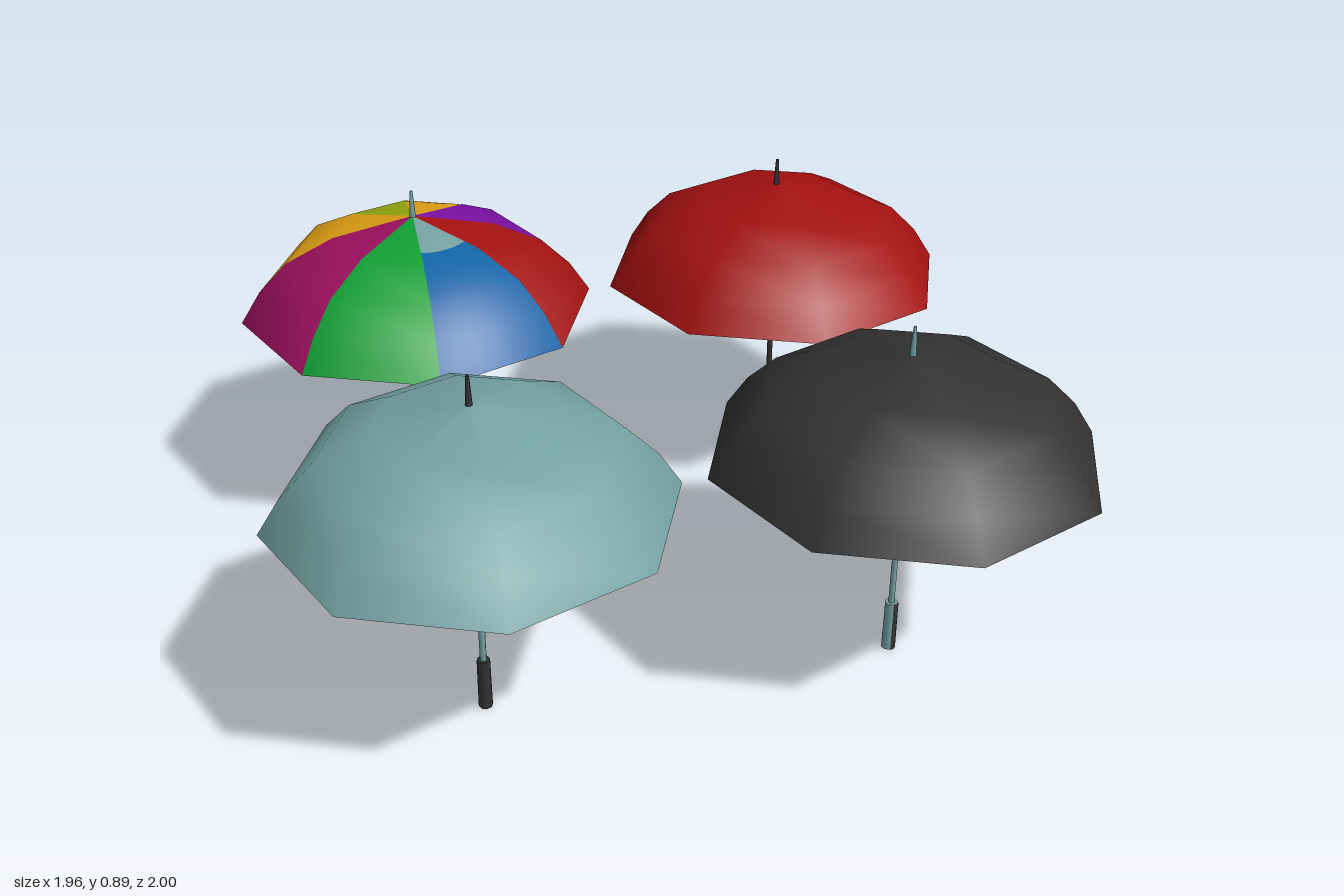
import * as THREE from 'three';

const mat = (name, color, side = THREE.DoubleSide) => {
  const m = new THREE.MeshStandardMaterial({ color, side });
  m.name = name;
  return m;
};

const RIM = 0.475, STEP = Math.PI / 4;
// Canopy profile from rim to crown: [radius, height]
const PROFILE = [[RIM, 0.555], [0.42, 0.64], [0.345, 0.715], [0.215, 0.777], [0, 0.82]];

function canopyHeight(r) {
  for (let i = 0; i < PROFILE.length - 1; i++) {
    const [r0, y0] = PROFILE[i], [r1, y1] = PROFILE[i + 1];
    if (r >= r1) return y0 + (y1 - y0) * (r0 - r) / (r0 - r1);
  }
  return PROFILE[PROFILE.length - 1][1];
}

function mesh(name, geometry, material) {
  const m = new THREE.Mesh(geometry, material);
  m.name = name;
  return m;
}

// One or more whole canopy panels
function panels(first, count) {
  const pts = PROFILE.map(([r, y]) => new THREE.Vector2(r, y));
  return new THREE.LatheGeometry(pts, count, first * STEP, count * STEP);
}

// Piece of one panel between two round boundaries (null outer = rim)
function panelPiece(index, inner, outer) {
  const cols = 6, rows = 16, pos = [], nor = [], idx = [];
  for (let c = 0; c <= cols; c++) {
    const a = (index + c / cols) * STEP;
    const k = Math.cos((c / cols - 0.5) * STEP) / Math.cos(STEP / 2);
    const end = outer === null ? RIM / k : outer;
    for (let j = 0; j <= rows; j++) {
      const r = inner + (end - inner) * j / rows;
      pos.push(r * Math.sin(a), canopyHeight(r * k), r * Math.cos(a));
      const slope = 0.15 + 1.35 * (r * k / RIM) ** 3;
      const n = new THREE.Vector3(slope * Math.sin(a), 1, slope * Math.cos(a)).normalize();
      nor.push(n.x, n.y, n.z);
      if (c < cols && j < rows) {
        const p = c * (rows + 1) + j, q = p + rows + 1;
        idx.push(p, p + 1, q + 1, p, q + 1, q);
      }
    }
  }
  const g = new THREE.BufferGeometry();
  g.setAttribute('position', new THREE.Float32BufferAttribute(pos, 3));
  g.setAttribute('normal', new THREE.Float32BufferAttribute(nor, 3));
  g.setIndex(idx);
  return g;
}

// Shaft, tip and handle shared by every umbrella
function umbrella(name, x, z, shaftMat, tipMat, handleMat) {
  const g = new THREE.Group();
  g.name = name;
  g.position.set(x, 0, z);
  const shaft = mesh('shaft', new THREE.CylinderGeometry(0.008, 0.008, 0.7, 8), shaftMat);
  shaft.position.y = 0.47;
  const tip = mesh('tip', new THREE.CylinderGeometry(0.004, 0.009, 0.08, 8), tipMat);
  tip.position.y = 0.85;
  const handle = mesh('handle', new THREE.CylinderGeometry(0.016, 0.017, 0.135, 8), handleMat);
  handle.position.y = 0.0675;
  g.add(shaft, tip, handle);
  return g;
}

export function createModel() {
  const teal = mat('teal', 0x74a2a4), dark = mat('charcoal', 0x323232), red = mat('red', 0xa31010);
  const purple = mat('purple', 0x7a10a2), blue = mat('blue', 0x1064a6), green = mat('green', 0x10a034);
  const magenta = mat('magenta', 0x9e1060), orange = mat('orange', 0xe0a014), lime = mat('lime', 0x95aa10);
  const model = new THREE.Group();
  model.name = 'umbrellas';
  const X = 0.505, Z = 0.525;

  // Plain umbrellas
  const tealOne = umbrella('tealUmbrella', -X, Z, teal, dark, dark);
  tealOne.add(mesh('canopy', panels(0, 8), teal));
  const redOne = umbrella('redUmbrella', X, -Z, dark, dark, dark);
  redOne.add(mesh('canopy', panels(0, 8), red));
  const darkOne = umbrella('charcoalUmbrella', X, Z, teal, teal, teal);
  darkOne.add(mesh('canopy', panels(0, 8), dark));

  // Dark strip on the front of the teal handle
  const strip = mesh('handleStrip',
    new THREE.CylinderGeometry(0.0175, 0.0185, 0.135, 3, 1, true, 0, STEP * 1.5), dark);
  strip.position.y = 0.0675;
  darkOne.add(strip);

  // Multicoloured umbrella, panels counted from the front towards the left
  const rainbow = umbrella('rainbowUmbrella', -X, -Z, teal, teal, dark);
  const colours = [blue, red, purple, red, lime, orange, magenta, green];
  const patches = { 0: [teal, 0.17], 3: [orange, 0.255] };
  colours.forEach((m, i) => {
    if (patches[i]) {
      const [patchMat, r] = patches[i];
      rainbow.add(mesh('panelPatch', panelPiece(i, 0, r), patchMat));
      rainbow.add(mesh('panel', panelPiece(i, r, null), m));
    } else {
      rainbow.add(mesh('panel', panels(i, 1), m));
    }
  });

  model.add(tealOne, redOne, darkOne, rainbow);
  return model;
}
